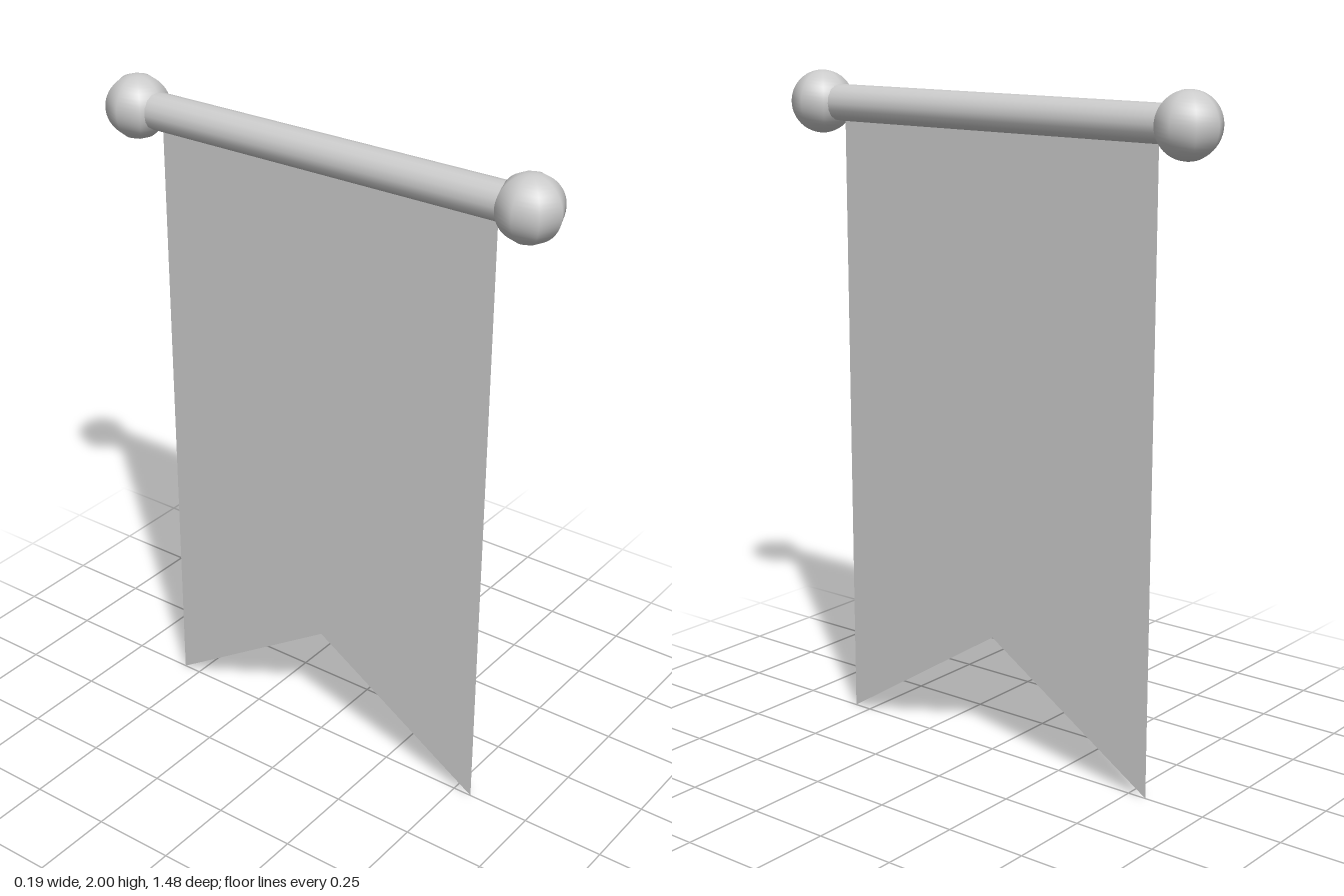
import * as THREE from 'three';

export function createModel() {
  const group = new THREE.Group();
  const grey = new THREE.MeshStandardMaterial({ color: 0xcccccc });
  const clothGrey = new THREE.MeshStandardMaterial({ color: 0xcccccc, side: THREE.DoubleSide });
  const poleY = 1.907;

  const add = (name, geometry, material, y = 0, z = 0) => {
    const mesh = new THREE.Mesh(geometry, material);
    mesh.name = name;
    mesh.position.set(0, y, z);
    group.add(mesh);
    return mesh;
  };

  // horizontal pole running front to back
  add('pole', new THREE.CylinderGeometry(0.054, 0.054, 1.17, 16).rotateX(Math.PI / 2), grey, poleY);

  // ball finials, eight-sided seen from above
  const ball = new THREE.SphereGeometry(0.093, 8, 24);
  add('frontFinial', ball, grey, poleY, 0.649);
  add('backFinial', ball, grey, poleY, -0.649);

  // thin hanging cloth with a swallowtail bottom edge
  const outline = new THREE.Shape([
    new THREE.Vector2(-0.558, poleY - 0.03),
    new THREE.Vector2(-0.558, 0),
    new THREE.Vector2(0, 0.357),
    new THREE.Vector2(0.558, 0),
    new THREE.Vector2(0.558, poleY - 0.03),
  ]);
  add('cloth', new THREE.ShapeGeometry(outline).rotateY(Math.PI / 2), clothGrey);

  return group;
}
